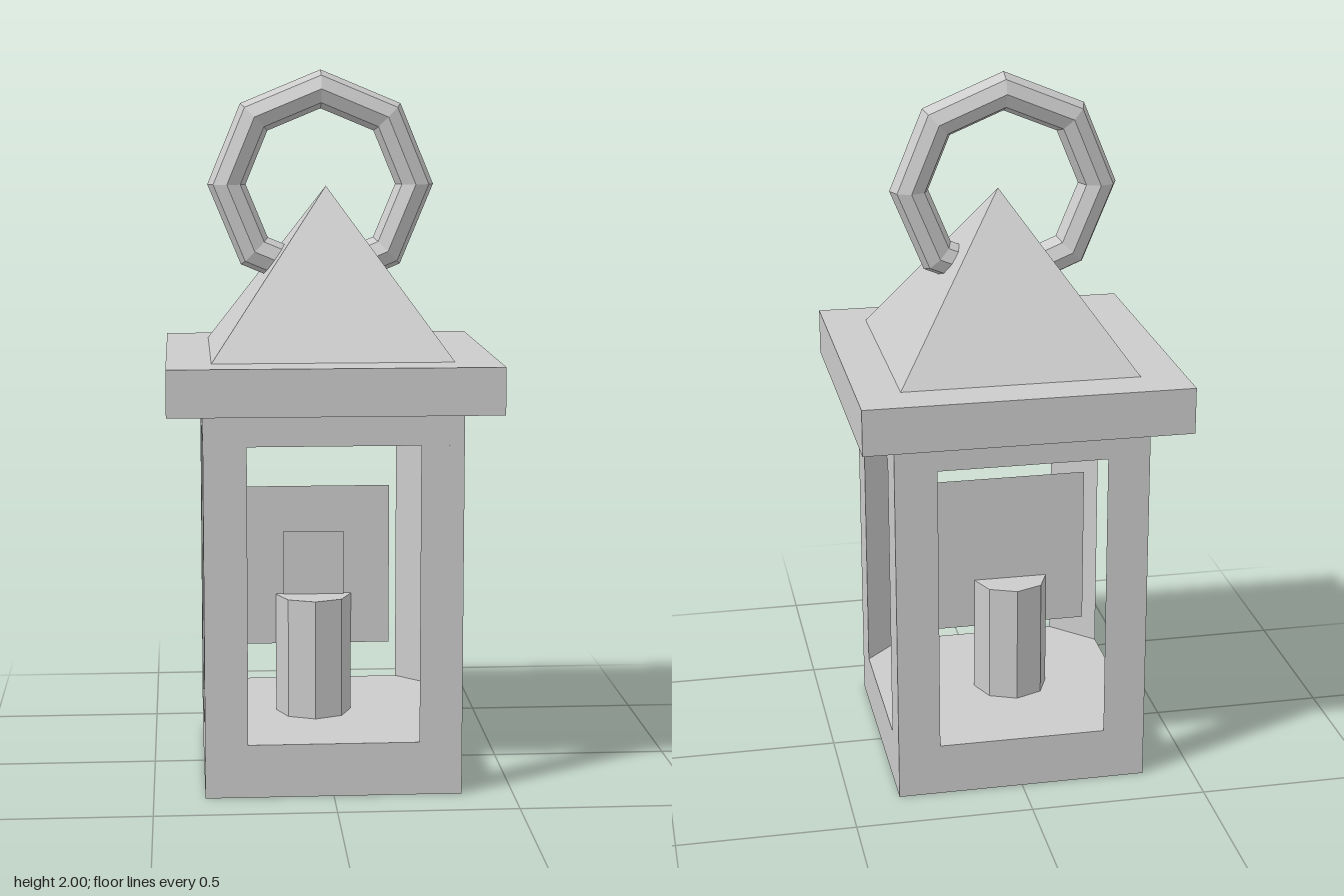
import * as THREE from 'three';

export function createModel() {
  const lantern = new THREE.Group();
  lantern.name = 'lantern';
  const material = new THREE.MeshStandardMaterial({ color: 0xcccccc, flatShading: true });
  const sheetMaterial = new THREE.MeshStandardMaterial({ color: 0xcccccc, flatShading: true, side: THREE.DoubleSide });

  const add = (name, geometry, x, y, z, mat = material) => {
    const mesh = new THREE.Mesh(geometry, mat);
    mesh.name = name;
    mesh.position.set(x, y, z);
    lantern.add(mesh);
    return mesh;
  };
  // Square slab between two heights
  const slab = (name, width, bottom, top) =>
    add(name, new THREE.BoxGeometry(width, top - bottom, width), 0, (bottom + top) / 2, 0);

  const half = 0.357;     // half width of the housing
  const opening = 0.238;  // half width of each window
  const floorY = 0.15, ceilingY = 0.985;

  // Housing floor, ceiling and overhanging eave
  slab('base', half * 2, 0, floorY);
  slab('topBeam', half * 2, ceilingY, 1.08);
  slab('eave', 0.91, 1.08, 1.21);

  // Triangular corner posts, with the diagonal face turned inward
  const section = new THREE.Shape([
    new THREE.Vector2(half, half),
    new THREE.Vector2(opening, half),
    new THREE.Vector2(half, opening),
  ]);
  const postGeometry = new THREE.ExtrudeGeometry(section, { depth: ceilingY - floorY, bevelEnabled: false });
  postGeometry.rotateX(-Math.PI / 2);
  for (let i = 0; i < 4; i++) {
    add('cornerPost', postGeometry, 0, floorY, 0).rotation.y = (i * Math.PI) / 2;
  }

  // Pyramid roof
  const roof = new THREE.ConeGeometry(0.332 * Math.SQRT2, 0.465, 4);
  roof.rotateY(Math.PI / 4);
  add('roof', roof, 0, 1.4425, 0);

  // Carrying ring, its lower part sunk into the roof
  add('ring', new THREE.TorusGeometry(0.266, 0.054, 8, 8), -0.015, 1.68, -0.002);

  // Candle with a flat flame and a larger flat glow behind it
  const candleX = -0.036;
  add('candle', new THREE.CylinderGeometry(0.109, 0.109, 0.345, 8), candleX, 0.3225, 0);
  add('flame', new THREE.PlaneGeometry(0.175, 0.19), candleX, 0.585, 0.004, sheetMaterial);
  add('glow', new THREE.PlaneGeometry(0.44, 0.465), candleX, 0.58, -0.004, sheetMaterial);

  return lantern;
}
